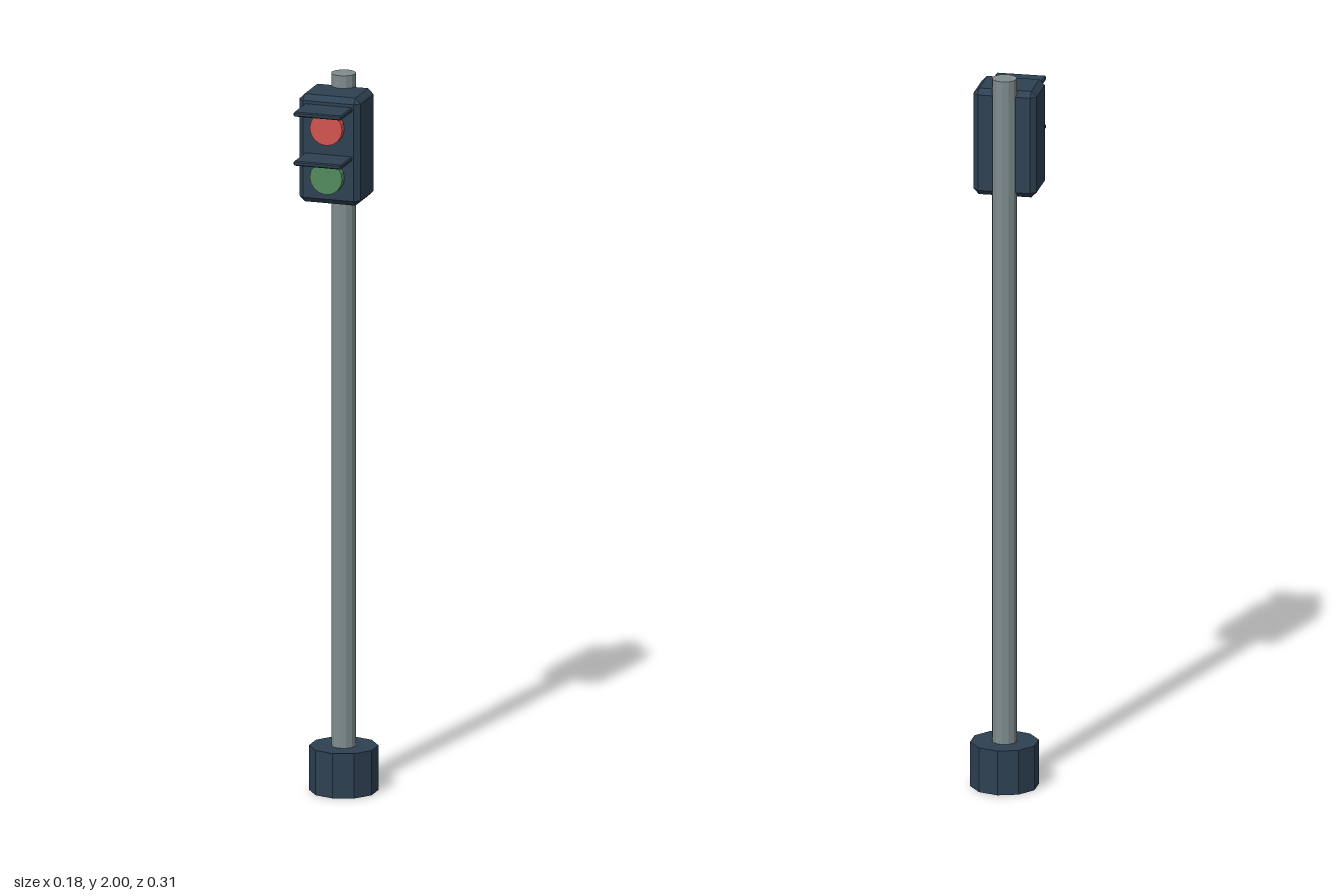
import * as THREE from 'three';
import { ConvexGeometry } from 'three/addons/geometries/ConvexGeometry.js';

const material = (name, color) => {
  const m = new THREE.MeshStandardMaterial({ color, flatShading: true });
  m.name = name;
  return m;
};

// Box with every edge and corner cut off by c
function chamferBox(w, h, d, c) {
  const points = [];
  for (const sx of [-1, 1]) for (const sy of [-1, 1]) for (const sz of [-1, 1]) {
    for (let axis = 0; axis < 3; axis++) {
      const inset = [c, c, c];
      inset[axis] = 0;
      points.push(new THREE.Vector3(
        sx * (w / 2 - inset[0]), sy * (h / 2 - inset[1]), sz * (d / 2 - inset[2])));
    }
  }
  return new ConvexGeometry(points);
}

export function createModel() {
  const model = new THREE.Group();
  model.name = 'trafficLight';
  const navy = material('darkNavy', 0x2e4153);
  const steel = material('greySteel', 0x7f8c8d);
  const red = material('signalRed', 0xd4544f);
  const green = material('signalGreen', 0x528c5f);

  const add = (name, geometry, mat, x, y, z) => {
    const mesh = new THREE.Mesh(geometry, mat);
    mesh.name = name;
    mesh.position.set(x, y, z);
    model.add(mesh);
    return mesh;
  };

  // Ten-sided foot and the pole standing in it
  const poleZ = -0.065;
  add('base', new THREE.CylinderGeometry(0.093, 0.093, 0.125, 10), navy, 0, 0.0625, poleZ);
  add('pole', new THREE.CylinderGeometry(0.034, 0.034, 1.99, 12), steel, 0, 1.005, poleZ);

  // Signal housing
  add('housing', chamferBox(0.174, 0.3, 0.137, 0.015), navy, 0, 1.815, -0.0035);

  // Lamps, each with a flat visor above
  const lamps = [['red', red, 1.881], ['green', green, 1.744]];
  for (const [name, mat, y] of lamps) {
    const lamp = add(name + 'Lamp', new THREE.CylinderGeometry(0.046, 0.046, 0.03, 16), mat, 0, y, 0.07);
    lamp.rotation.x = Math.PI / 2;
    add(name + 'Visor', chamferBox(0.136, 0.013, 0.1, 0.003), navy, 0, y + 0.054, 0.107);
  }
  return model;
}
